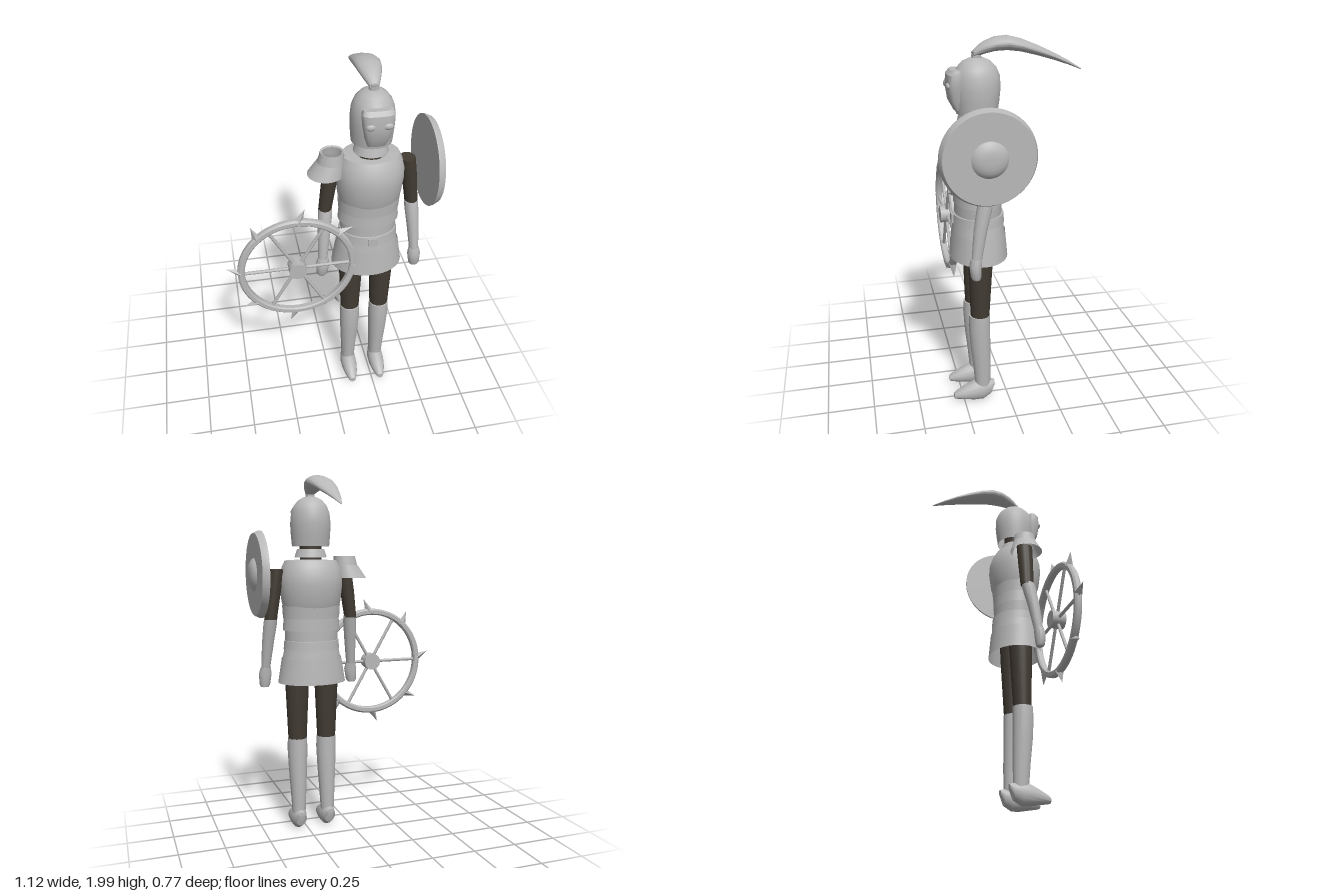
import * as THREE from 'three';
import { toCreasedNormals } from 'three/addons/utils/BufferGeometryUtils.js';

const steel = new THREE.MeshStandardMaterial({ color: 0xb8b8b8, side: THREE.DoubleSide });
steel.name = 'steel';
const cloth = new THREE.MeshStandardMaterial({ color: 0x423b33, side: THREE.DoubleSide });
cloth.name = 'darkCloth';

// Skin over stacked elliptical rings [y, rx, rz, x, z]; power < 1 makes them boxier
function loft(rings, { n = 40, caps = true, power = 1 } = {}) {
  const list = rings.map(([y, rx, rz, x = 0, z = 0]) => [y, rx, rz, x, z]);
  if (caps) {
    const [a, b] = [list[0], list[list.length - 1]];
    list.unshift([a[0], 0.0005, 0.0005, a[3], a[4]]);
    list.push([b[0], 0.0005, 0.0005, b[3], b[4]]);
  }
  const bend = v => Math.sign(v) * Math.abs(v) ** power;
  const pos = [], idx = [];
  list.forEach(([y, rx, rz, x, z], i) => {
    for (let j = 0; j < n; j++) {
      const t = (j / n) * Math.PI * 2;
      pos.push(x + rx * bend(Math.cos(t)), y, z + rz * bend(Math.sin(t)));
      if (i < list.length - 1) {
        const a = i * n + j, b = i * n + (j + 1) % n;
        idx.push(a, a + n, b, b, a + n, b + n);
      }
    }
  });
  const g = new THREE.BufferGeometry();
  g.setAttribute('position', new THREE.Float32BufferAttribute(pos, 3));
  g.setIndex(idx);
  return toCreasedNormals(g, 0.6);
}

function add(parent, name, geometry, material = steel) {
  const mesh = new THREE.Mesh(geometry, material);
  mesh.name = name;
  parent.add(mesh);
  return mesh;
}

function addGroup(parent, name, x, y, z) {
  const g = new THREE.Group();
  g.name = name;
  g.position.set(x, y, z);
  parent.add(g);
  return g;
}

function buildTorso(body) {
  add(body, 'chestPlate', loft([
    [1.295, 0.158, 0.132], [1.33, 0.167, 0.143], [1.42, 0.177, 0.155], [1.47, 0.175, 0.152],
    [1.52, 0.162, 0.136], [1.553, 0.146, 0.116], [1.557, 0.08, 0.08]], { caps: false }));
  add(body, 'upperWaistBand', loft([[1.235, 0.16, 0.128], [1.305, 0.164, 0.133]], { caps: false }));
  add(body, 'lowerWaistBand', loft([[1.168, 0.162, 0.126], [1.24, 0.157, 0.125]], { caps: false }));
  add(body, 'waist', loft([[1.09, 0.149, 0.122], [1.18, 0.152, 0.122]], { caps: false }));
  add(body, 'belt', loft([[1.06, 0.159, 0.136], [1.11, 0.154, 0.132], [1.112, 0.14, 0.115]], { caps: false }));
  add(body, 'upperSkirt', loft([[1.0, 0.168, 0.138], [1.07, 0.153, 0.13]], { caps: false }));
  add(body, 'lowerSkirt', loft([[0.872, 0.193, 0.153], [1.012, 0.17, 0.141]], { caps: false }));
  const buckle = add(body, 'buckle', new THREE.BoxGeometry(0.05, 0.045, 0.012));
  buckle.position.set(0, 1.085, 0.136);
}

function buildHead(body) {
  add(body, 'neck', loft([[1.54, 0.06, 0.06], [1.68, 0.06, 0.06]]), cloth);
  add(body, 'collar', loft([[1.57, 0.09, 0.088], [1.615, 0.075, 0.075]], { caps: false }));
  add(body, 'helmet', loft([
    [1.63, 0.103, 0.103], [1.69, 0.108, 0.112], [1.75, 0.111, 0.118], [1.81, 0.105, 0.115],
    [1.85, 0.09, 0.098], [1.88, 0.064, 0.07], [1.895, 0.035, 0.038], [1.9, 0.001, 0.001]], { caps: false }));
  add(body, 'faceMask', loft([
    [1.65, 0.045, 0.024, 0, 0.092], [1.7, 0.062, 0.036, 0, 0.107], [1.77, 0.075, 0.043, 0, 0.11],
    [1.825, 0.08, 0.04, 0, 0.108], [1.845, 0.072, 0.026, 0, 0.104]], { power: 0.65 }));
  for (const s of [-1, 1]) {
    const eye = add(body, 'eyeBoss', new THREE.SphereGeometry(0.024, 20, 14));
    eye.scale.set(1, 0.7, 0.5);
    eye.position.set(s * 0.042, 1.772, 0.146);
  }
  add(body, 'plumeSocket', loft([[1.885, 0.028, 0.028], [1.915, 0.023, 0.023], [1.925, 0.026, 0.026]], { n: 8 }));
  // Plume sweeps backwards: rings run along z, then turn upright
  const plume = loft([
    [-0.53, 0.003, 0.003, 0, -1.825], [-0.46, 0.022, 0.011, 0, -1.86], [-0.385, 0.039, 0.018, 0, -1.892],
    [-0.3, 0.055, 0.025, 0, -1.924], [-0.22, 0.065, 0.031, 0, -1.95], [-0.15, 0.067, 0.035, 0, -1.963],
    [-0.09, 0.06, 0.034, 0, -1.959], [-0.04, 0.046, 0.03, 0, -1.944], [-0.01, 0.034, 0.025, 0, -1.93],
    [0.015, 0.022, 0.016, 0, -1.915]]);
  add(body, 'plume', plume.rotateX(Math.PI / 2));
}

function buildLimbs(body) {
  for (const s of [-1, 1]) {
    const side = s > 0 ? 'left' : 'right';
    const arm = addGroup(body, side + 'Arm', 0, 0, 0);
    add(arm, 'upperArm', loft([[1.23, 0.034, 0.038, s * 0.233], [1.38, 0.039, 0.044, s * 0.214],
      [1.505, 0.039, 0.047, s * 0.196]]), cloth);
    add(arm, 'forearm', loft([[0.95, 0.025, 0.026, s * 0.254, 0.056], [1.1, 0.033, 0.034, s * 0.243, 0.034],
      [1.2, 0.037, 0.038, s * 0.234, 0.013], [1.24, 0.036, 0.037, s * 0.231, 0.005]]));
    add(arm, 'hand', loft([[0.845, 0.022, 0.02, s * 0.26, 0.06], [0.858, 0.03, 0.026, s * 0.259, 0.062],
      [0.92, 0.036, 0.031, s * 0.255, 0.063], [0.955, 0.029, 0.028, s * 0.254, 0.057]]));

    const leg = addGroup(body, side + 'Leg', s * 0.086, 0, 0);
    add(leg, 'thigh', loft([[0.53, 0.052, 0.05, 0, 0.01], [0.87, 0.067, 0.065, 0, 0.005],
      [1.05, 0.067, 0.068]]), cloth);
    add(leg, 'greave', loft([[0.1, 0.038, 0.042, 0, -0.002], [0.22, 0.044, 0.048, 0, 0.002],
      [0.36, 0.052, 0.055, 0, 0.01], [0.48, 0.057, 0.058, 0, 0.014], [0.545, 0.055, 0.056, 0, 0.013]]));
    const foot = loft([[-0.067, 0.018, 0.014, 0, -0.105], [-0.045, 0.034, 0.046, 0, -0.08],
      [0, 0.046, 0.064, 0, -0.072], [0.045, 0.046, 0.058, 0, -0.067], [0.1, 0.038, 0.04, 0, -0.058],
      [0.15, 0.022, 0.022, 0, -0.048], [0.16, 0.016, 0.016, 0, -0.046]]);
    add(leg, 'foot', foot.rotateX(Math.PI / 2));
  }
  // Two-tier guard on the right shoulder, open at both ends
  const guard = addGroup(body, 'shoulderGuard', 0, 0, 0);
  add(guard, 'upperTier', loft([[1.52, 0.069, 0.07, -0.203], [1.578, 0.06, 0.06, -0.197],
    [1.574, 0.05, 0.048, -0.197]], { caps: false }));
  add(guard, 'lowerTier', loft([[1.455, 0.094, 0.093, -0.229], [1.527, 0.068, 0.07, -0.204]], { caps: false }));
}

function buildShield(root) {
  const shield = addGroup(root, 'shield', 0.495, 1.477, 0.148);
  const disc = loft([[0, 0.237, 0.237], [0.012, 0.235, 0.235], [0.037, 0.223, 0.223]], { n: 64 });
  const boss = loft([[0.036, 0.09, 0.09], [0.046, 0.081, 0.081], [0.056, 0.065, 0.065],
    [0.062, 0.045, 0.045], [0.065, 0.02, 0.02]]);
  add(shield, 'shieldDisc', disc.rotateZ(-Math.PI / 2));
  add(shield, 'shieldBoss', boss.rotateZ(-Math.PI / 2));
}

function buildWheel(root) {
  const wheel = addGroup(root, 'spikedWheel', -0.19, 0.95, 0.255);
  const profile = [[-0.012, 0.28], [-0.019, 0.287], [-0.019, 0.307], [-0.01, 0.316], [0.01, 0.316],
    [0.019, 0.307], [0.019, 0.287], [0.012, 0.28], [-0.012, 0.28]];
  const rim = loft(profile.map(([y, r]) => [y, r, r]), { n: 72, caps: false });
  add(wheel, 'rim', rim.rotateX(Math.PI / 2));
  add(wheel, 'hub', new THREE.CylinderGeometry(0.048, 0.048, 0.076, 28).rotateX(Math.PI / 2));
  for (let i = 0; i < 6; i++) {
    const spoke = new THREE.CylinderGeometry(0.009, 0.009, 0.25, 10).translate(0, 0.165, 0);
    add(wheel, 'spoke', spoke).rotation.z = Math.PI / 2 + i * Math.PI / 3;
  }
  // Spikes lean clockwise
  for (let i = 0; i < 8; i++) {
    const spike = toCreasedNormals(new THREE.ConeGeometry(0.024, 0.082, 4), 0.3);
    spike.translate(0, 0.041, 0).rotateZ(-0.4).translate(0, 0.3, 0);
    add(wheel, 'spike', spike).rotation.z = -0.035 - i * Math.PI / 4;
  }
}

export function createModel() {
  const root = new THREE.Group();
  root.name = 'armouredFigure';
  const body = addGroup(root, 'body', 0.21, 0, 0.147);
  buildTorso(body);
  buildHead(body);
  buildLimbs(body);
  buildShield(root);
  buildWheel(root);
  return root;
}
